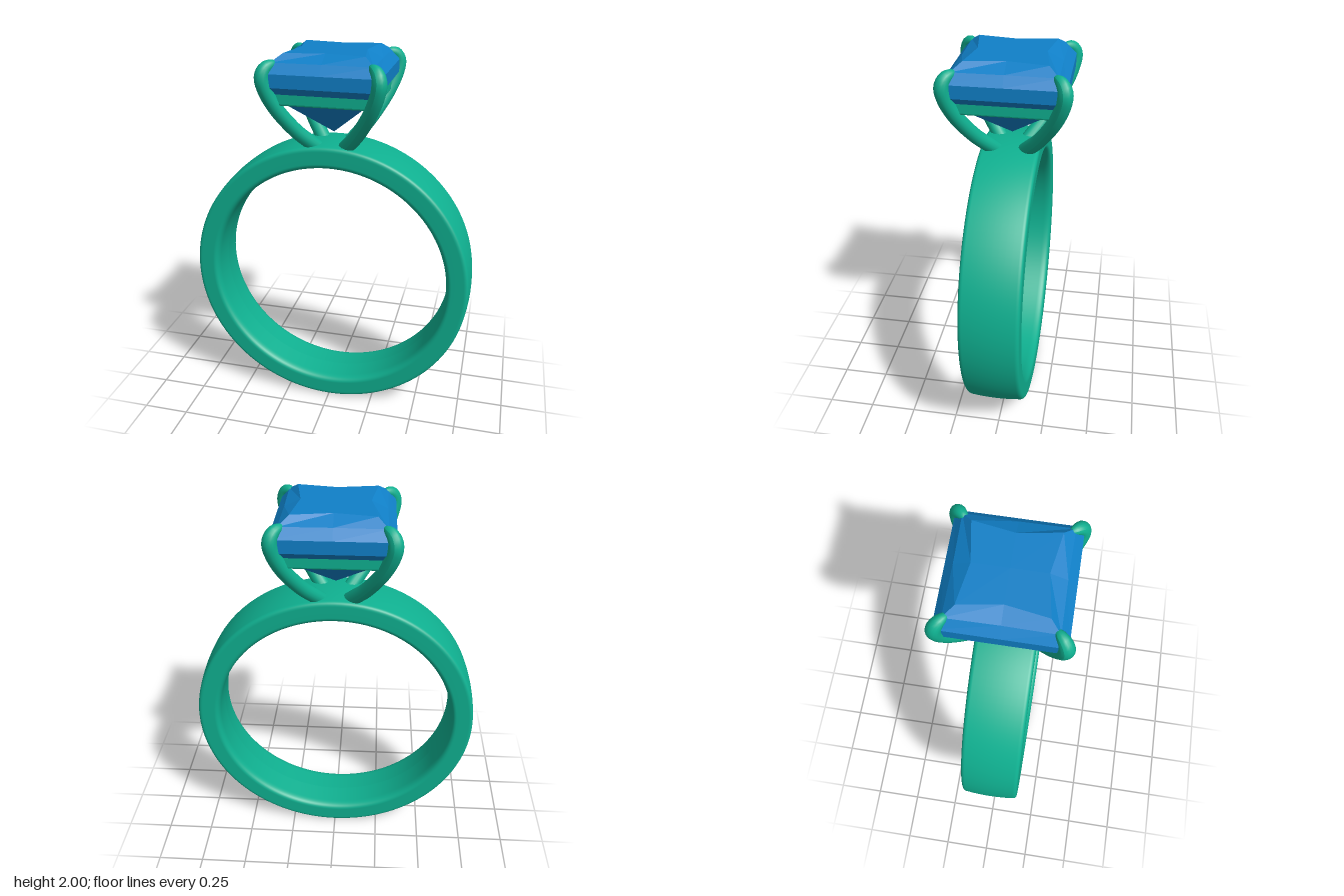
import * as THREE from 'three';

const metal = new THREE.MeshStandardMaterial({ color: 0x0fb090 });
const stone = new THREE.MeshStandardMaterial({ color: 0x1080c8, flatShading: true });

function mesh(name, geometry, material) {
  const m = new THREE.Mesh(geometry, material);
  m.name = name;
  return m;
}

// Ring band: rounded, slightly bowed section turned around the finger axis
function makeBand() {
  const ri = 0.637, ro = 0.768, w = 0.15, c = 0.022;
  const s = new THREE.Shape();
  s.moveTo(ri, 0);
  s.lineTo(ri + 0.004, -w + 0.045);
  s.quadraticCurveTo(ri + 0.006, -w, ri + 0.035, -w);
  s.lineTo(ro - 0.01 - c, -w);
  s.quadraticCurveTo(ro - 0.01, -w, ro - 0.008, -w + c);
  s.quadraticCurveTo(ro + 0.006, 0, ro - 0.008, w - c);
  s.quadraticCurveTo(ro - 0.01, w, ro - 0.01 - c, w);
  s.lineTo(ri + 0.035, w);
  s.quadraticCurveTo(ri + 0.006, w, ri + 0.004, w - 0.045);
  s.lineTo(ri, 0);
  const geo = new THREE.LatheGeometry(s.getPoints(8), 128);
  geo.rotateX(Math.PI / 2);
  geo.translate(0, 0.77, 0);
  return mesh('band', geo, metal);
}

// Square-cut stone: rings of eight points [corner half-width, mid-side half-width, height]
function makeStone() {
  const rings = [
    [0, 0, 1.575], [0.2, 0.2, 1.755], [0.29, 0.29, 1.85], [0.29, 0.29, 1.915],
    [0.25, 0.247, 1.962], [0.2, 0.168, 2], [0, 0, 2],
  ];
  const pos = [], index = [];
  for (const [corner, mid, y] of rings) {
    for (let k = 0; k < 8; k++) {
      const a = k * Math.PI / 4;
      const r = k % 2 ? corner * Math.SQRT2 : mid;
      pos.push(r * Math.cos(a), y, r * Math.sin(a));
    }
  }
  for (let i = 0; i < rings.length - 1; i++) {
    for (let k = 0; k < 8; k++) {
      const a = i * 8 + k, b = i * 8 + (k + 1) % 8;
      if (i > 0) index.push(a, a + 8, b);
      if (i < rings.length - 2) index.push(b, a + 8, b + 8);
      else if (i === 0) index.push(b, a + 8, b + 8);
    }
  }
  const geo = new THREE.BufferGeometry();
  geo.setAttribute('position', new THREE.Float32BufferAttribute(pos, 3));
  geo.setIndex(index);
  const flat = geo.toNonIndexed();
  flat.computeVertexNormals();
  return mesh('stone', flat, stone);
}

// Square frame under the stone
function makeRail() {
  const square = (path, h) => path.moveTo(-h, -h).lineTo(h, -h).lineTo(h, h).lineTo(-h, h).closePath();
  const s = new THREE.Shape();
  square(s, 0.245);
  const hole = new THREE.Path();
  square(hole, 0.195);
  s.holes.push(hole);
  const geo = new THREE.ExtrudeGeometry(s, {
    depth: 0.065, bevelThickness: 0.01, bevelSize: 0.01, bevelSegments: 3,
  });
  geo.rotateX(-Math.PI / 2);
  geo.translate(0, 1.767, 0);
  return mesh('galleryRail', geo, metal);
}

// Tapered claw: a tube whose rings are scaled about the path
function makeProngGeometry() {
  const path = new THREE.CatmullRomCurve3([
    [0.03, 1.455], [0.1, 1.54], [0.157, 1.61], [0.235, 1.74], [0.274, 1.84],
    [0.283, 1.9], [0.268, 1.94], [0.225, 1.962],
  ].map(([d, y]) => new THREE.Vector3(d, y, d)));
  const n = 48, sides = 16, radius = 0.037;
  const geo = new THREE.TubeGeometry(path, n, radius, sides);
  const p = geo.attributes.position, v = new THREE.Vector3();
  for (let i = 0; i <= n; i++) {
    const u = i / n, centre = path.getPointAt(u);
    const t = Math.max(0, (u - 0.8) / 0.2);
    const scale = Math.sqrt(1 - t * t) * (1 + 0.2 * Math.max(0, 0.35 - u));
    for (let j = 0; j <= sides; j++) {
      const k = i * (sides + 1) + j;
      v.fromBufferAttribute(p, k).sub(centre).multiplyScalar(scale).add(centre);
      p.setXYZ(k, v.x, v.y, v.z);
    }
  }
  geo.computeVertexNormals();
  return geo;
}

export function createModel() {
  const ring = new THREE.Group();
  ring.name = 'ring';
  ring.add(makeBand(), makeStone(), makeRail());

  // Four claws, one at each corner
  const prongGeo = makeProngGeometry();
  for (let i = 0; i < 4; i++) {
    const prong = mesh('prong', prongGeo, metal);
    prong.rotation.y = i * Math.PI / 2;
    ring.add(prong);
  }

  // Setting stem, just showing inside the band
  const stem = mesh('settingStem', new THREE.CylinderGeometry(0.05, 0.045, 0.135, 24), metal);
  stem.position.y = 1.4675;
  ring.add(stem);
  return ring;
}
